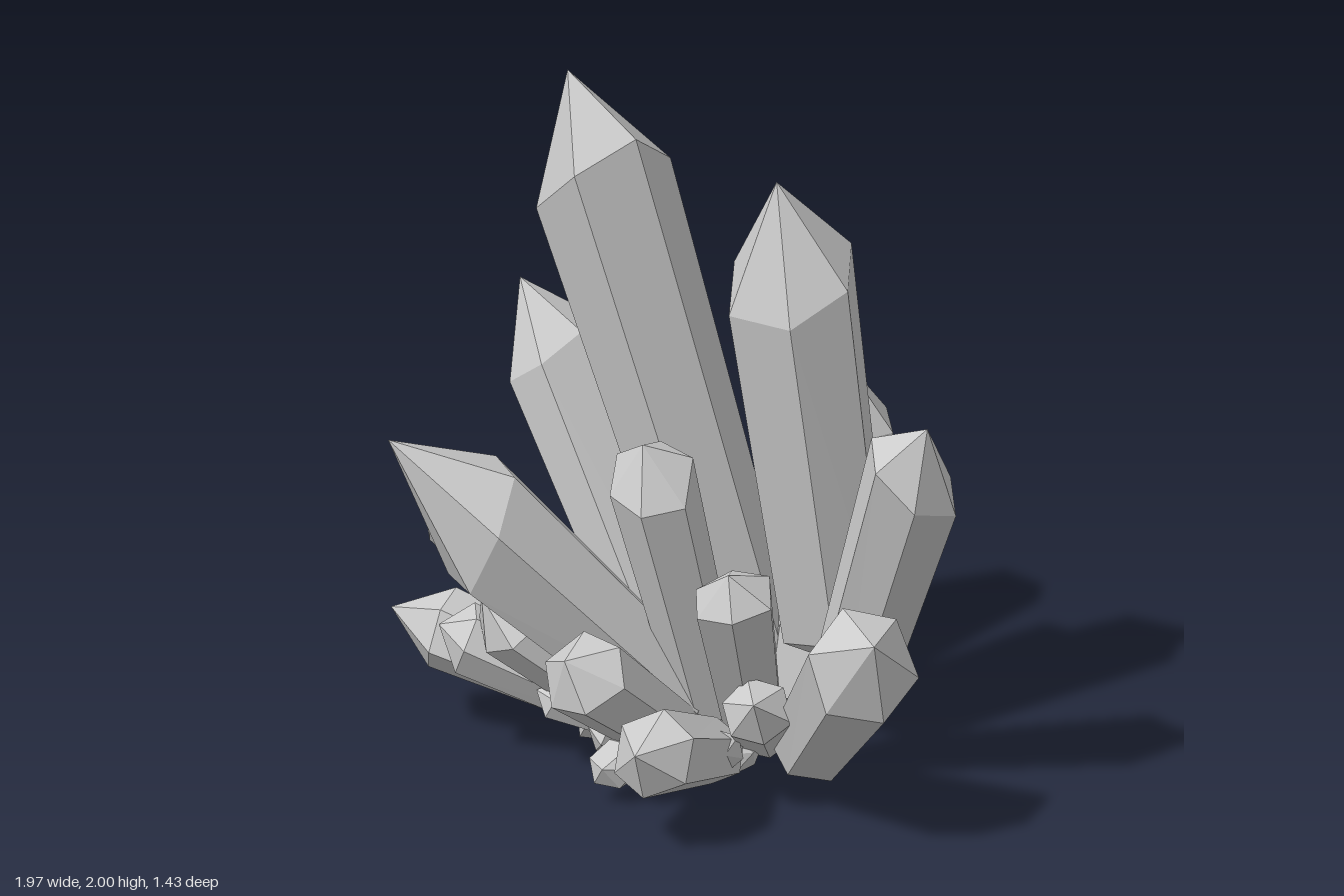
import * as THREE from 'three';

const SIDES = 6;

// Small seeded generator for the natural irregularity of the crystals
function seeded(seed) {
  let s = seed * 7919 + 17;
  return () => ((s = (s * 16807) % 2147483647) / 2147483647);
}

// Six-sided tapering prism with a slanted point and a short pointed root.
// tilt: [x, z] slope of the shoulder; leanZ: shift of the shoulder off the axis
function crystalGeometry({ base, tip, r, cap, taper = 0.75, tilt, leanZ = 0 }, seed) {
  const rnd = seeded(seed);
  for (let i = 0; i < 5; i++) rnd();
  const from = new THREE.Vector3(...base), to = new THREE.Vector3(...tip);
  const axis = to.clone().sub(from), length = axis.length();
  const turn = new THREE.Quaternion().setFromUnitVectors(new THREE.Vector3(0, 1, 0), axis.normalize());
  const start = rnd() * Math.PI;
  const [tx, tz] = tilt ?? [(rnd() - 0.5) * 0.8, (rnd() - 0.5) * 0.8];
  const wobble = Array.from({ length: SIDES }, () => [0.93 + rnd() * 0.14, (rnd() - 0.5) * 0.3]);

  const ring = (height, radius, slope, shiftZ) => wobble.map(([w, h], i) => {
    const a = start + (i / SIDES) * Math.PI * 2;
    const x = Math.cos(a) * radius * w, z = Math.sin(a) * radius * w;
    const y = height + slope * (x * tx + z * tz + h * radius);
    const p = new THREE.Vector3(x, y, z).applyQuaternion(turn).add(from);
    p.z += shiftZ;
    return p;
  });
  const top = ring(length - cap * r, r, 1, leanZ);
  const bottom = ring(0.55 * r, r * taper, -0.5, 0);

  const pts = [];
  for (let i = 0; i < SIDES; i++) {
    const j = (i + 1) % SIDES;
    pts.push(to, top[j], top[i]);
    pts.push(top[i], top[j], bottom[i], top[j], bottom[j], bottom[i]);
    pts.push(bottom[i], bottom[j], from);
  }
  const geo = new THREE.BufferGeometry().setFromPoints(pts);
  geo.computeVertexNormals();
  return geo;
}

// Large crystals standing on their own roots
const LARGE = [
  { name: 'tallestCrystal', base: [-0.05, 0, -0.4], tip: [-0.4, 2, 0.04], r: 0.205, cap: 1.75, tilt: [0.75, 0.4] },
  { name: 'secondTallCrystal', base: [0.22, 0.24, -0.43], tip: [0.22, 1.78, -0.17], r: 0.19, cap: 1.6, taper: 0.85, tilt: [-0.1, -0.3] },
  { name: 'backCrystal', base: [0.06, 0.03, -0.41], tip: [0.1, 1.125, -0.53], r: 0.14, cap: 1.5, leanZ: -0.06 },
  { name: 'frontRightCrystal', base: [0.06, 0.13, -0.05], tip: [-0.44, 1.06, 0.71], r: 0.185, cap: 2.1, taper: 0.7, tilt: [0.1, -0.3] },
  { name: 'leanLeftCrystal', base: [0.34, 0.08, -0.16], tip: [0.98, 0.7, 0.2], r: 0.165, cap: 0.95, tilt: [-0.45, -0.1] },
];

// Crystals fanning out of the shared foot: tip x, y, z, radius and point length
const FAN = {
  frontCentreCrystal: [0.09, 1.06, 0.23, 0.13, 0.9],
  leanRightBackCrystal: [-0.75, 1.22, -0.12, 0.145, 1.5],
  leanLeftBackCrystal: [0.86, 1.23, -0.13, 0.15, 1.4],
  leanRightCrystal: [-0.99, 0.69, 0.06, 0.15, 1.5],
  backRightCrystal: [-0.66, 0.83, -0.52, 0.12, 1],
  frontLeftLowCrystal: [0.46, 0.34, 0.63, 0.13],
  frontLowCrystal: [0.1, 0.5, 0.55, 0.13, 0.9],
  midLeftCrystal: [0.44, 0.77, 0.24, 0.125, 0.9],
  sideLeftLowCrystal: [0.5, 0.38, 0.2, 0.1],
  midRightCrystal: [-0.66, 0.71, 0.22, 0.11],
  sideRightLowCrystal: [-0.78, 0.35, 0.36, 0.12],
  frontRightLowCrystal: [-0.33, 0.54, 0.45, 0.12, 0.9],
  outerRightStub: [-0.51, 0.4, 0.44, 0.1, 0.9],
  innerFrontStub: [-0.06, 0.42, 0.38, 0.09, 0.9],
};

// Root of a fanning crystal, drawn in towards the foot of the cluster
const rootOf = (x, z) => [0.3 * x + 0.06, 0.1, 0.35 * z - 0.13 - 0.15 * Math.max(x, 0)];

export function createModel() {
  const group = new THREE.Group();
  group.name = 'crystalCluster';
  const material = new THREE.MeshStandardMaterial({ color: 0xcccccc, flatShading: true });

  const fan = Object.entries(FAN).map(([name, [x, y, z, r, cap = 1.2]]) => ({
    name, base: rootOf(x, z), tip: [x, y, z], r, cap,
  }));

  // Short stubs spread round the front of the foot
  const stubs = Array.from({ length: 8 }, (_, i) => {
    const a = (i / 7) * Math.PI, reach = 0.3 + 0.1 * (i % 2);
    const tip = [Math.cos(a) * reach, 0.12 + 0.06 * (i % 3), Math.sin(a) * reach];
    return { name: `footStub${i + 1}`, base: [tip[0] * 0.2, 0.1, tip[2] * 0.2], tip, r: 0.07, cap: 0.8 };
  });

  [...LARGE, ...fan, ...stubs].forEach((spec, i) => {
    const mesh = new THREE.Mesh(crystalGeometry(spec, i + 1), material);
    mesh.name = spec.name;
    group.add(mesh);
  });
  return group;
}
